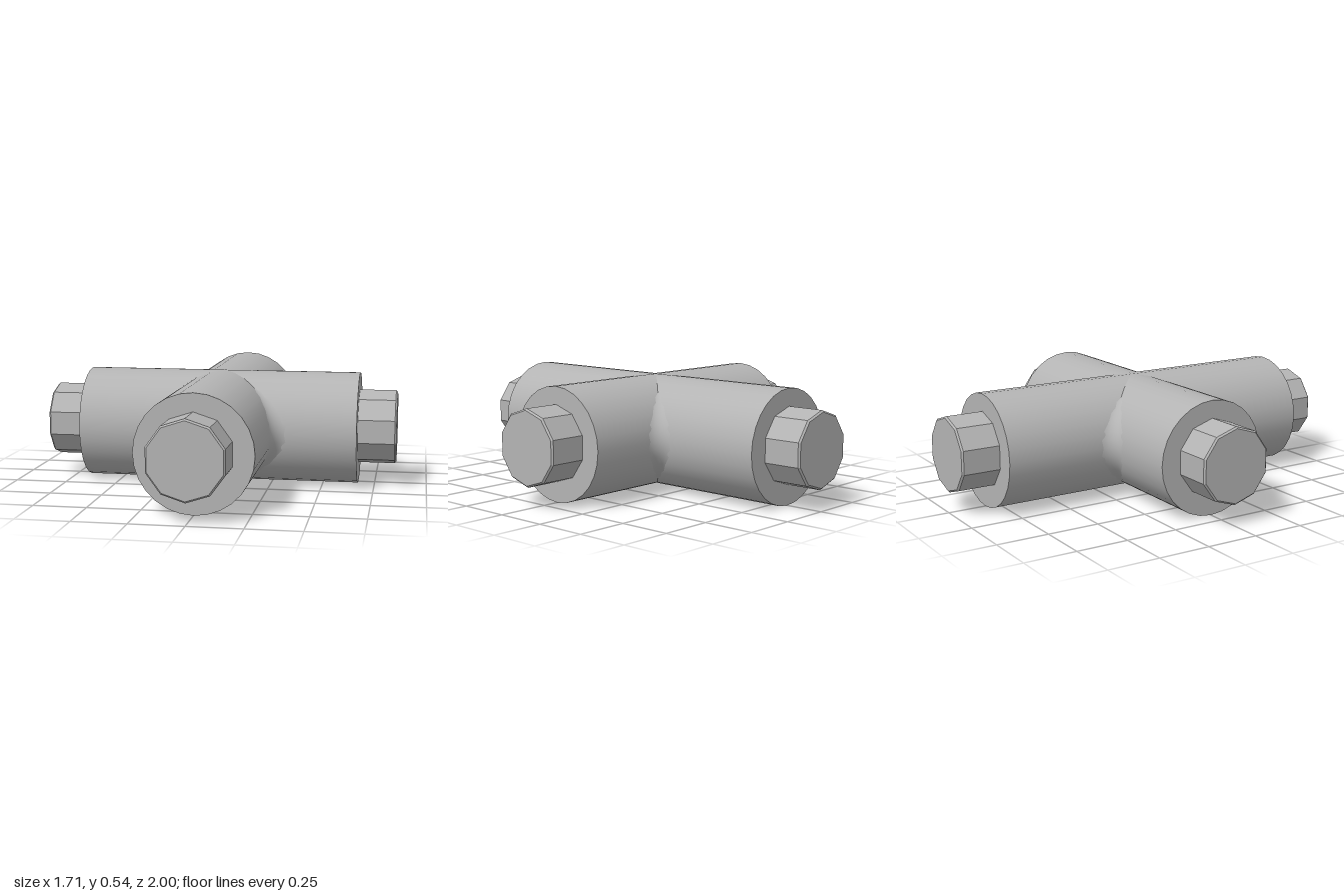
import * as THREE from 'three';

const R = 0.27;            // pipe radius, also the height of the axes
const STUB_R = 0.18;

// Many-sided plug end with a slight chamfer, pointing along +z
function stubGeometry(start, end) {
  const profile = [[STUB_R, start], [STUB_R, end - 0.008], [STUB_R - 0.008, end], [0, end]];
  const geo = new THREE.LatheGeometry(profile.map(p => new THREE.Vector2(...p)), 10)
    .rotateX(Math.PI / 2).toNonIndexed();
  geo.computeVertexNormals();
  return geo;
}

// Concave web blending two neighbouring pipes, strongest at mid height
function filletGeometry() {
  const rows = 12, cols = 6, reach = 0.23, pos = [], index = [];
  for (let i = 0; i <= rows; i++) {
    const y = -reach + 2 * reach * i / rows;
    const s = Math.sqrt(R * R - y * y) - 0.003;
    const f = 0.085 * (1 - (y / reach) ** 2);
    for (let j = 0; j <= cols; j++) {
      const a = Math.PI * (1 + 0.5 * j / cols);
      pos.push(s + f + f * Math.cos(a), y, s + f + f * Math.sin(a));
      if (i < rows && j < cols) {
        const k = i * (cols + 1) + j, n = k + cols + 1;
        index.push(k, k + 1, n, k + 1, n + 1, n);
      }
    }
  }
  const geo = new THREE.BufferGeometry();
  geo.setAttribute('position', new THREE.Float32BufferAttribute(pos, 3));
  geo.setIndex(index);
  geo.computeVertexNormals();
  return geo;
}

export function createModel() {
  const metal = new THREE.MeshStandardMaterial({ color: 0xb4b4b4, side: THREE.DoubleSide });
  metal.name = 'grey metal';
  const model = new THREE.Group();
  model.name = 'crossFitting';

  function add(name, geo, turn) {
    const mesh = new THREE.Mesh(geo, metal);
    mesh.name = name;
    mesh.position.y = R;
    mesh.rotation.y = turn;
    model.add(mesh);
    return mesh;
  }

  // Two crossing pipes: the long one along z, the short one along x
  const pipe = half => new THREE.CylinderGeometry(R, R, 2 * half, 28).rotateX(Math.PI / 2);
  add('longPipe', pipe(0.815), 0);
  add('shortPipe', pipe(0.67), Math.PI / 2);

  // Plug ends and corner webs, one per quarter turn
  const longStub = stubGeometry(0.8, 1.0), shortStub = stubGeometry(0.655, 0.853);
  const fillet = filletGeometry();
  const sides = ['front', 'left', 'back', 'right'];
  sides.forEach((side, i) => {
    const turn = i * Math.PI / 2;
    add(side + 'Stub', i % 2 ? shortStub : longStub, turn).position.y = R + 0.007;
    add('cornerWeb' + (i + 1), fillet, turn);
  });
  return model;
}
